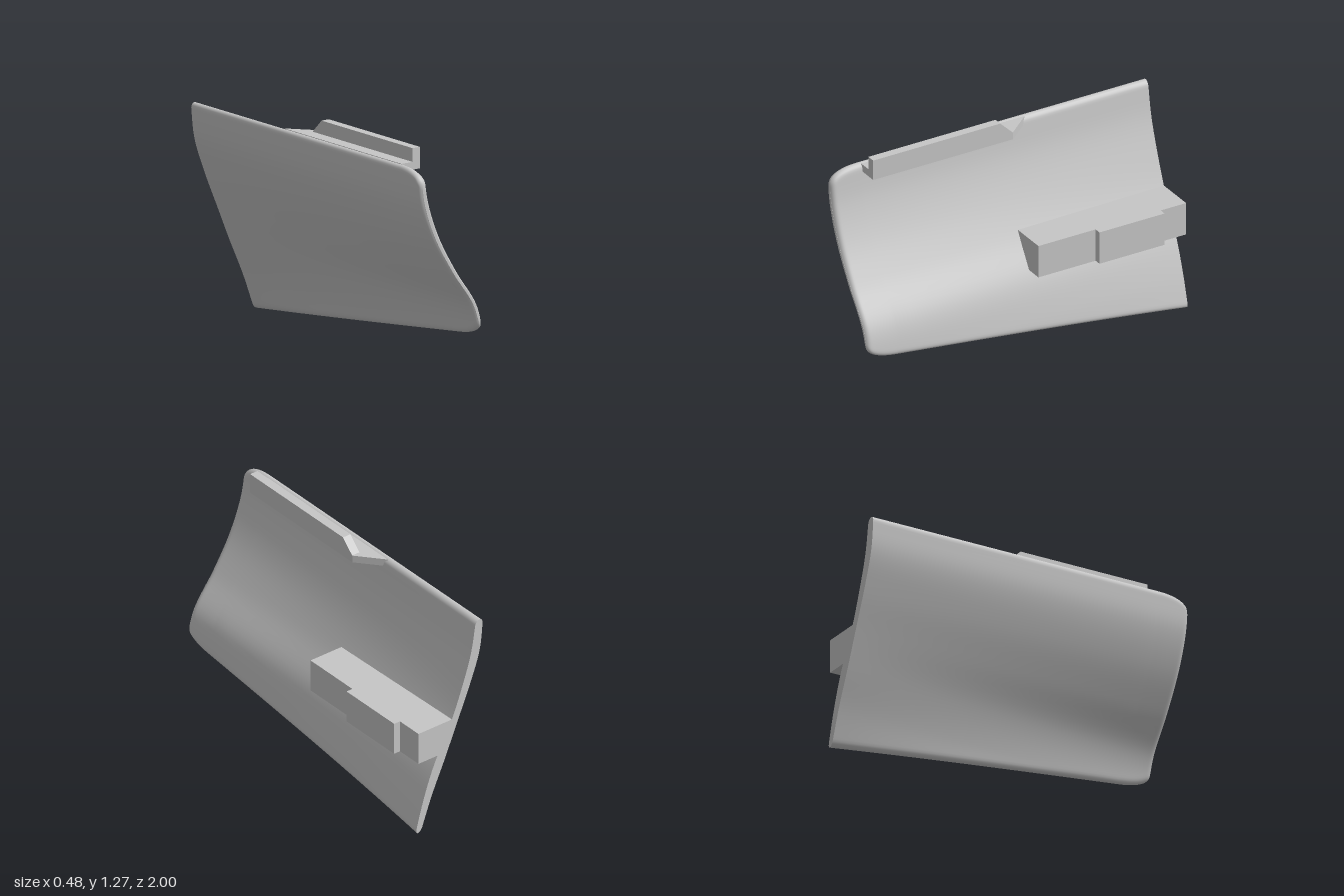
import * as THREE from 'three';

// Panel side offsets (x) at heights 0, 0.2 ... 1.2, for the rear and front ends
const REAR = {
  inner: [0.222, 0.165, 0.09, -0.015, -0.095, -0.16, -0.195],
  outer: [0.185, 0.11, 0.02, -0.065, -0.15, -0.22, -0.245],
};
const FRONT = {
  inner: [0.21, 0.205, 0.165, 0.03, -0.085, -0.16, -0.195],
  outer: [0.18, 0.172, 0.115, -0.025, -0.145, -0.22, -0.245],
};

// Smooth interpolation through evenly spaced values
function sample(values, y) {
  const s = THREE.MathUtils.clamp(y / 0.2, 0, values.length - 1);
  const i = Math.min(Math.floor(s), values.length - 2), t = s - i;
  const p1 = values[i], p2 = values[i + 1];
  const p0 = values[i - 1] ?? 2 * p1 - p2, p3 = values[i + 2] ?? 2 * p2 - p1;
  return p1 + 0.5 * t * (p2 - p0 + t * (2 * p0 - 5 * p1 + 4 * p2 - p3 + t * (3 * (p1 - p2) + p3 - p0)));
}

// Curved S-section plate with rounded front corners and a rising lower edge
function panelGeometry() {
  const M = 44;
  const stations = [];
  for (let i = 0; i <= 18; i++) stations.push(-1 + i * 0.1);
  for (let i = 1; i <= 16; i++) stations.push(0.8 + 0.2 * Math.sin((i / 16) * Math.PI / 2));

  const rings = stations.map((z) => {
    const u = Math.max(0, (z - 0.8) / 0.2);
    const corner = 1 - Math.pow(Math.max(0, 1 - u ** 2.5), 0.4);
    const top = 1.2 - 0.1 * corner;
    const bottom = 0.215 * (z + 1) / 1.8 + 0.07 * corner;
    const v = Math.max(0, (z - 0.97) / 0.03);
    const frontRound = Math.max(0.3, Math.sqrt(Math.max(0, 1 - v * v)));
    const k = (z + 1) / 2;
    const inner = [], outer = [];
    for (let j = 0; j < M; j++) {
      // samples gather towards both edges
      const y = top + (bottom - top) * (0.5 - 0.5 * Math.cos(Math.PI * j / (M - 1)));
      const xi = THREE.MathUtils.lerp(sample(REAR.inner, y), sample(FRONT.inner, y), k);
      const xo = THREE.MathUtils.lerp(sample(REAR.outer, y), sample(FRONT.outer, y), k);
      const e = 1 - Math.min(1, Math.min(top - y, y - bottom) / 0.03);
      const half = (xi - xo) / 2 * Math.sqrt(Math.max(0, 1 - e * e)) * frontRound;
      const mid = (xi + xo) / 2;
      inner.push([mid + half, y, z]);
      outer.unshift([mid - half, y, z]);
    }
    return inner.concat(outer);
  });

  const n = 2 * M;
  const positions = rings.flat(2), index = [];
  for (let i = 0; i < rings.length - 1; i++) {
    for (let j = 0; j < n; j++) {
      const a = i * n + j, a1 = i * n + (j + 1) % n;
      index.push(a, a + n, a1, a + n, a1 + n, a1);
    }
  }
  // flat end caps with their own vertices
  [rings[0], rings[rings.length - 1]].forEach((ring, end) => {
    const base = positions.length / 3;
    positions.push(...ring.flat());
    for (let j = 0; j < M - 1; j++) {
      const a = base + j, b = a + 1, d = base + n - 1 - j, c = d - 1;
      if (end === 0) index.push(a, b, c, a, c, d);
      else index.push(a, c, b, a, d, c);
    }
  });

  const g = new THREE.BufferGeometry();
  g.setAttribute('position', new THREE.Float32BufferAttribute(positions, 3));
  g.setIndex(index);
  g.computeVertexNormals();
  return g;
}

function prism(points, depth) {
  const shape = new THREE.Shape(points.map(([x, y]) => new THREE.Vector2(x, y)));
  return new THREE.ExtrudeGeometry(shape, { depth, bevelEnabled: false });
}

export function createModel() {
  const group = new THREE.Group();
  const grey = new THREE.MeshStandardMaterial({ color: 0xc6c6c6 });
  grey.name = 'plain grey';
  const add = (name, geometry) => {
    const mesh = new THREE.Mesh(geometry, grey);
    mesh.name = name;
    group.add(mesh);
  };

  add('curvedPanel', panelGeometry());

  // Upper hook: flat shelf with a slanted rear end, and an upright lip
  const shelf = prism([[-0.205, -0.8], [-0.08, -0.8], [-0.08, 0.08], [-0.205, 0.23]], 0.043);
  add('upperShelf', shelf.rotateX(-Math.PI / 2).translate(0, 1.156, 0));
  const lip = prism([[0.8, 1.156], [0.8, 1.275], [0, 1.275], [-0.08, 1.197], [-0.08, 1.156]], 0.05);
  add('upperLip', lip.rotateY(-Math.PI / 2).translate(-0.08, 0, 0));

  // Lower block whose inner side is sunk into the panel, with a raised pad
  const block = prism([[-0.045, 0.635], [0.07, 0.443], [0.2, 0.443], [0.2, 0.635]], 0.93);
  add('lowerBlock', block.translate(0, 0, -1));
  add('lowerPad', new THREE.BoxGeometry(0.05, 0.192, 0.41).translate(0.215, 0.539, -0.635));

  return group;
}
